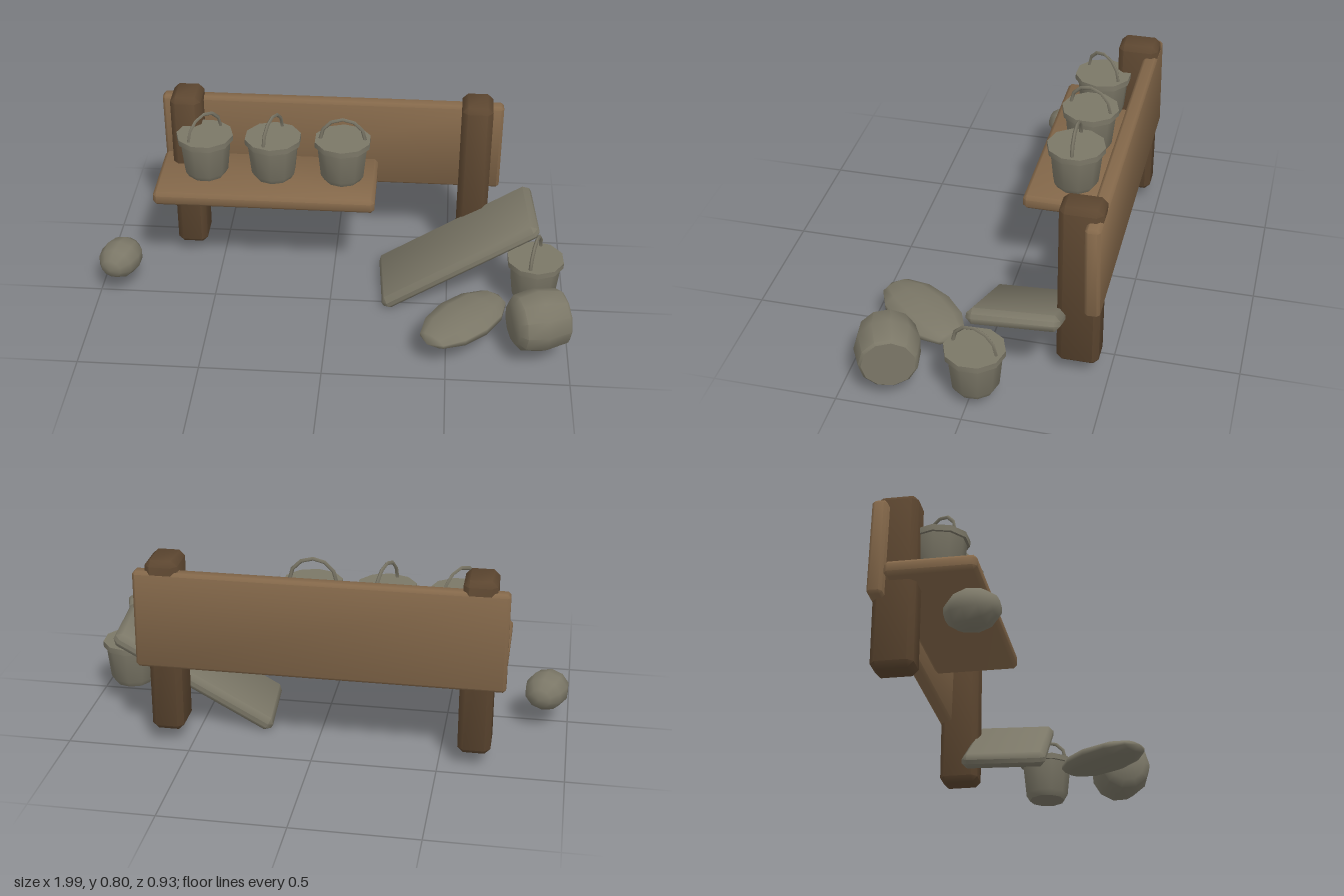
import * as THREE from 'three';
import { toCreasedNormals } from 'three/addons/utils/BufferGeometryUtils.js';
import { ConvexGeometry } from 'three/addons/geometries/ConvexGeometry.js';

const mat = (name, color) => new THREE.MeshStandardMaterial({ name, color });

// Box with all edges cut at 45 degrees
function chamferBox(w, h, d, c) {
  const pts = [];
  for (const sx of [-1, 1]) for (const sy of [-1, 1]) for (const sz of [-1, 1]) {
    const x = w / 2, y = h / 2, z = d / 2;
    pts.push(new THREE.Vector3(sx * x, sy * (y - c), sz * (z - c)));
    pts.push(new THREE.Vector3(sx * (x - c), sy * y, sz * (z - c)));
    pts.push(new THREE.Vector3(sx * (x - c), sy * (y - c), sz * z));
  }
  return toCreasedNormals(new ConvexGeometry(pts), 0.9);
}

function lathe(points, sides) {
  const g = new THREE.LatheGeometry(points.map(([r, y]) => new THREE.Vector2(r, y)), sides);
  return toCreasedNormals(g, 0.75);
}

export function createModel() {
  const model = new THREE.Group();
  const postWood = mat('darkWood', 0x5c4630);
  const plankWood = mat('plankWood', 0x84684a);
  const stone = mat('greyStone', 0x7b7767);

  const add = (name, geometry, material, pos, rot = [0, 0, 0], parent = model) => {
    const mesh = new THREE.Mesh(geometry, material);
    mesh.name = name;
    mesh.position.set(...pos);
    mesh.rotation.set(...rot);
    parent.add(mesh);
    return mesh;
  };

  // Stall frame
  const post = chamferBox(0.13, 0.735, 0.168, 0.023);
  add('rightPost', post, postWood, [-0.64, 0.438, -0.375]);
  add('leftPost', post, postWood, [0.597, 0.438, -0.375]);
  add('backBoard', chamferBox(1.465, 0.405, 0.06, 0.012), plankWood, [-0.022, 0.557, -0.434], [0.02, 0, 0]);
  add('shelf', chamferBox(0.935, 0.062, 0.36, 0.015), plankWood, [-0.287, 0.458, -0.225]);

  // Filled buckets with looped handles
  const body = lathe([[0, 0], [0.08, 0], [0.095, 0.025], [0.11, 0.17]], 10);
  const rim = lathe([[0.105, 0.165], [0.121, 0.165], [0.121, 0.19], [0, 0.19]], 10);
  const handle = new THREE.TorusGeometry(0.095, 0.008, 4, 6, Math.PI);
  const buckets = [
    [-0.55, 0.488, -0.235, 0.91], [-0.26, 0.488, -0.235, 1.24],
    [0.035, 0.488, -0.235, 0], [0.865, 0.07, -0.022, 1.3],
  ];
  buckets.forEach(([x, y, z, turn], i) => {
    const bucket = new THREE.Group();
    bucket.name = 'bucket' + (i + 1);
    bucket.position.set(x, y, z);
    bucket.rotation.y = turn;
    add('bucketBody', body, stone, [0, 0, 0], [0, 0, 0], bucket);
    add('bucketRim', rim, stone, [0, 0, 0], [0, 0, 0], bucket);
    add('bucketHandle', handle, stone, [0, 0.187, 0], [0, 0, 0], bucket);
    model.add(bucket);
  });

  // Leaning slab
  add('leaningSlab', chamferBox(0.745, 0.062, 0.355, 0.022), stone, [0.535, 0.217, -0.14], [0, 0.08, 0.54]);

  // Pot lying on its side
  const pot = lathe([[0, -0.11], [0.085, -0.11], [0.115, -0.085], [0.131, 0.0], [0.115, 0.095], [0.105, 0.105], [0, 0.105]], 11);
  add('fallenPot', pot, stone, [0.867, 0.197, 0.322], [0, 0.33, -Math.PI / 2]);

  // Flattened sack and small boulder, long axis along local x
  const round = new THREE.SphereGeometry(1, 10, 6).rotateZ(Math.PI / 2);
  add('flatSack', round, stone, [0.568, 0.144, 0.27], [0, 0.88, 0]).scale.set(0.23, 0.045, 0.13);
  add('boulder', round, stone, [-0.908, 0.168, -0.026], [0, 1.3, 0]).scale.set(0.11, 0.08, 0.09);

  return model;
}
